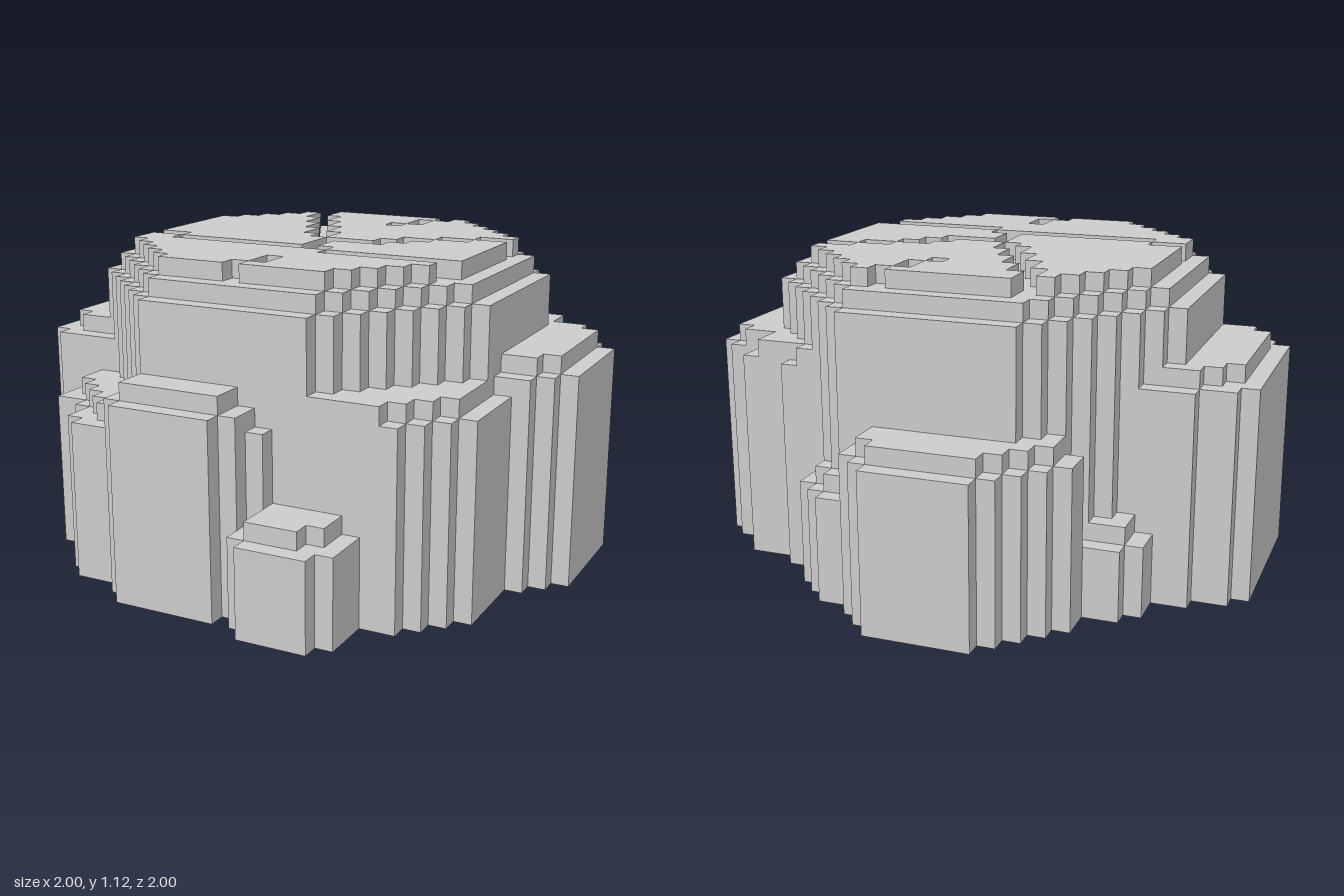
import * as THREE from 'three';

const U = 1 / 16; // one grid cell
const material = new THREE.MeshStandardMaterial({ color: 0xcccccc, flatShading: true });

// Stepped slab: rows of [left, right] cells, one per unit of z, from z0 forward
function slab(z0, rows, y0, y1) {
  const left = [], right = [];
  rows.forEach(([l, r], i) => {
    for (const [side, x] of [[left, l], [right, r]]) {
      const last = side[side.length - 1];
      if (last && last[0] === x) last[1] = z0 + i + 1;
      else side.push([x, z0 + i], [x, z0 + i + 1]);
    }
  });
  const points = [...left, ...right.reverse()].map(([x, z]) => new THREE.Vector2(x * U, -z * U));
  const geo = new THREE.ExtrudeGeometry(new THREE.Shape(points), { depth: (y1 - y0) * U, bevelEnabled: false });
  geo.rotateX(-Math.PI / 2);
  geo.translate(0, y0 * U, 0);
  return new THREE.Mesh(geo, material);
}

// Lobe: a body with a one-step smaller cap on top
function lobe(name, height, z0, rows, capZ0, capRows) {
  const g = new THREE.Group();
  g.name = name;
  g.add(slab(z0, rows, 0, height), slab(capZ0, capRows, height, height + 1));
  return g;
}

// Rows of a regular stepped octagon with half width n
function octagonRows(n) {
  const rows = [];
  for (let z = -n; z < n; z++) {
    const k = z < 0 ? -z - 1 : z;
    const r = Math.min(n, n + 4 - k);
    rows.push([-r, r]);
  }
  return rows;
}

const toRight = (list) => list.map((x) => [0, x]);
const toLeft = (list) => list.map((x) => [x, 0]);

// Cracks in the top plate: [x0, x1, z0, z1]
const cracks = [
  [-11, -8, 2, 3], [-8, 2, 3, 4], [2, 11, 4, 5],
  [0, 1, 0, 3], [-1, 0, -2, 0], [-2, -1, -4, -1], [-3, -2, -6, -3], [-4, -3, -8, -5], [-5, -4, -10, -7],
  [1, 4, 0, 1], [3, 5, -1, 0], [4, 6, -2, -1], [6, 8, -3, -2], [8, 11, -4, -3],
  [1, 2, -7, -6], [2, 3, -9, -7], [3, 4, -10, -9],
  [0, 1, 7, 9], [-1, 0, 9, 11],
];
const isCrack = (x, z) => cracks.some(([a, b, c, d]) => x >= a && x < b && z >= c && z < d);

// Top plate, laid as strips that stop at the cracks
function crackedTop() {
  const g = new THREE.Group();
  g.name = 'crackedTop';
  octagonRows(10).forEach(([l, r], i) => {
    const z = i - 10;
    let start = l;
    for (let x = l; x <= r; x++) {
      if (x < r && !isCrack(x, z)) continue;
      if (x > start) {
        const strip = new THREE.Mesh(new THREE.BoxGeometry((x - start) * U, U, U), material);
        strip.position.set((start + x) / 2 * U, 17.5 * U, (z + 0.5) * U);
        strip.name = 'topStrip';
        g.add(strip);
      }
      start = x + 1;
    }
  });
  return g;
}

export function createModel() {
  const rock = new THREE.Group();
  rock.name = 'rock';

  // Main boulder with its stepped rim
  const core = slab(-12, octagonRows(12), 0, 16);
  core.name = 'core';
  const rim = slab(-11, octagonRows(11), 16, 17);
  rim.name = 'rim';
  rock.add(core, rim, crackedTop());

  // Large side lobes
  rock.add(lobe('leftLobe', 12,
    -9, toRight([10, 13, 13, 15, 16, 16, 16, 16, 16, 16, 16, 15, 14]),
    -9, toRight([9, 12, 12, 14, 15, 15, 15, 15, 15, 15, 15, 14])));
  rock.add(lobe('rightLobe', 12,
    -7, toLeft([-13, -15, -16, -16, -16, -16, -16, -16, -16, -16, -16, -16, -15]),
    -6, toLeft([-13, -14, -15, -15, -15, -15, -15, -15, -15, -15, -14])));

  // Front lobes
  rock.add(lobe('frontLeftLobe', 11,
    4, toRight([13, 13, 13, 13, 13, 12, 11, 10]),
    4, toRight([12, 12, 12, 12, 12, 11, 10, 9])));
  rock.add(lobe('frontRightLobe', 9,
    5, toLeft([-13, -13, -13, -13, -11, -10, -10]).concat([[-9, -5]]),
    5, toLeft([-12, -12, -12, -11, -10, -9, -8])));
  rock.add(lobe('frontLobe', 11,
    11, [[-6, 2], [-6, 2], [-6, 2], [-5, 1]],
    11, [[-5, 1], [-5, 1], [-5, 1]]));
  const ledge = slab(11, [[0, 3], [0, 3]], 0, 10);
  ledge.name = 'frontLedge';
  rock.add(ledge);

  // Back lobe
  rock.add(lobe('backLobe', 9,
    -16, [[-4, 2], [-5, 3], [-6, 4], [-7, 4], [-8, 5], [-8, 5]],
    -15, [[-4, 2], [-5, 3], [-6, 3], [-7, 4], [-7, 4]]));

  // Small stones around the foot
  rock.add(lobe('frontStone', 5,
    11, [[3, 8], [3, 8], [2, 8], [2, 8], [3, 7]],
    11, [[3, 7], [3, 7], [3, 7], [3, 6]]));
  rock.add(lobe('backLeftStone', 6,
    -13, [[3, 6], [3, 7], [3, 8], [3, 8]],
    -12, [[3, 6], [3, 7], [3, 7]]));
  rock.add(lobe('backRightStone', 4,
    -10, toLeft([-10, -11, -11]),
    -9, toLeft([-10, -10])));

  return rock;
}
